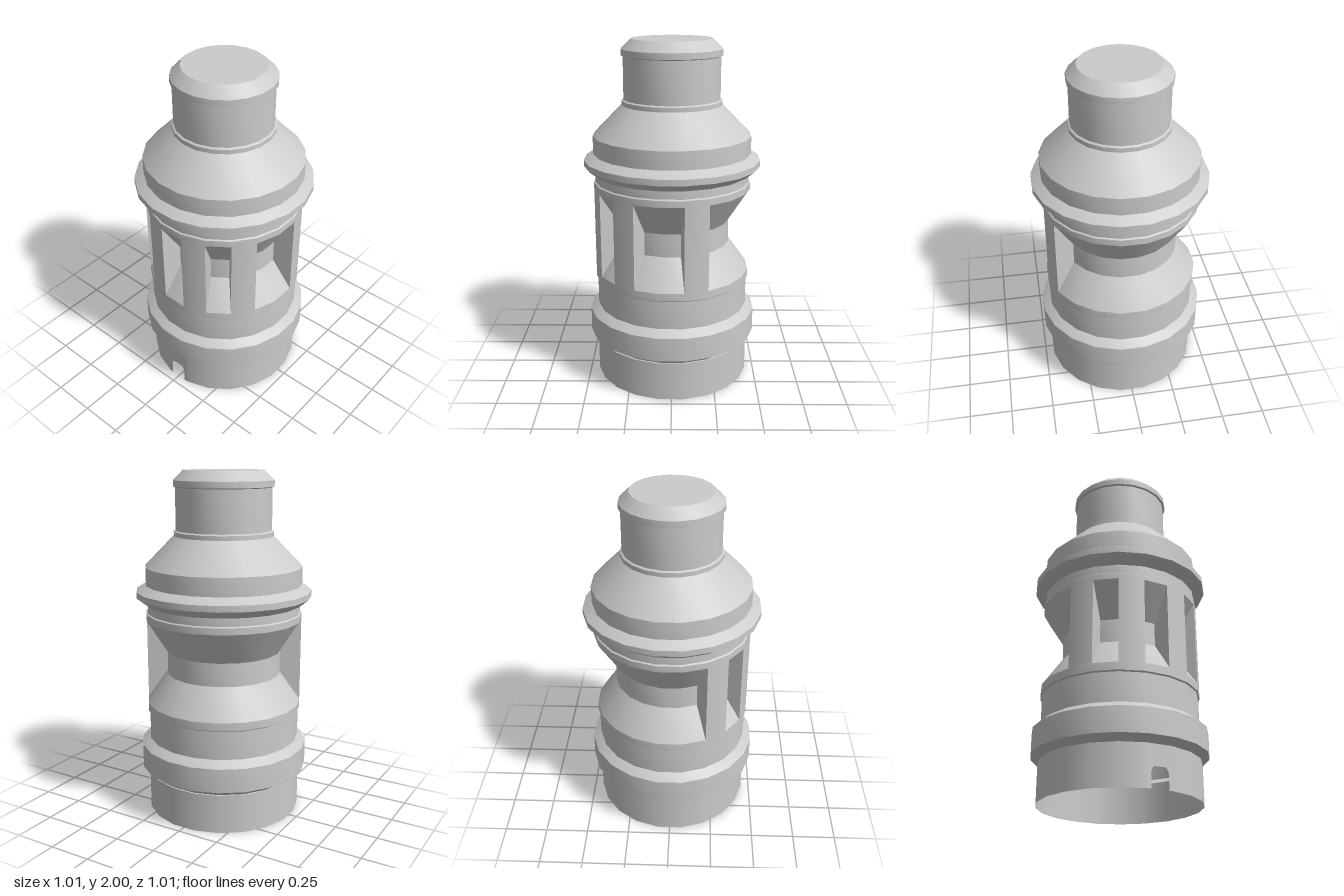
import * as THREE from 'three';
import { toCreasedNormals } from 'three/addons/utils/BufferGeometryUtils.js';

const SIDES = 20;
const STEP = (Math.PI * 2) / SIDES;
const deg = THREE.MathUtils.degToRad;
const R = 0.455; // main wall radius
const NECK = 0.335; // waist radius behind the pillars

const material = new THREE.MeshStandardMaterial({ color: 0xcccccc, side: THREE.DoubleSide });

const points = (list) => list.map(([x, y]) => new THREE.Vector2(x, y));

function addMesh(parent, name, geometry) {
  const mesh = new THREE.Mesh(geometry, material);
  mesh.name = name;
  parent.add(mesh);
  return mesh;
}

// Full turned section: smooth around, sharp along the profile
function turned(parent, name, profile) {
  const geometry = new THREE.LatheGeometry(points(profile), SIDES, STEP / 2);
  return addMesh(parent, name, toCreasedNormals(geometry, deg(25)));
}

export function createModel() {
  const model = new THREE.Group();
  model.name = 'turnedHousing';

  // Open skirt, leaving out the front facet
  addMesh(model, 'skirt',
    new THREE.LatheGeometry(points([[R, 0], [R, 0.23]]), SIDES - 1, STEP / 2, Math.PI * 2 - STEP));

  // Front facet with a small slot in its lower edge
  const half = R * Math.sin(STEP / 2);
  const slotPanel = new THREE.Shape(points([
    [-half, 0], [-0.05, 0], [-0.05, 0.08], [-0.045, 0.1], [-0.033, 0.115],
    [0.033, 0.115], [0.045, 0.1], [0.05, 0.08], [0.05, 0], [half, 0],
    [half, 0.23], [-half, 0.23],
  ]));
  addMesh(model, 'slottedPanel', new THREE.ShapeGeometry(slotPanel))
    .position.z = R * Math.cos(STEP / 2);

  // Lower flange and barrel
  turned(model, 'lowerFlange', [
    [R, 0.23], [0.445, 0.23], [0.495, 0.265], [0.495, 0.405], [0.447, 0.442],
    [0.447, 0.608], [R, 0.614], [R, 0.66],
  ]);

  // Waist that shows between the pillars
  const waist = [[R, 0.66], [NECK, 0.83], [NECK, 0.965], [R, 1.155]];
  turned(model, 'waist', waist);

  // Pillars around the waist; the back and one side stay open
  const wallShape = new THREE.Shape(points(waist));
  for (const start of [-63, -27, 9, 45, 99]) {
    const pillar = new THREE.Group();
    pillar.name = 'pillar';
    const a = deg(start);
    addMesh(pillar, 'pillarFace', new THREE.LatheGeometry(points([[R, 0.66], [R, 1.155]]), 1, a, STEP));
    for (const angle of [a, a + STEP]) {
      addMesh(pillar, 'pillarSide', new THREE.ShapeGeometry(wallShape)).rotation.y = angle - Math.PI / 2;
    }
    model.add(pillar);
  }

  // Upper collar ring
  turned(model, 'collar', [
    [R, 1.155], [R, 1.193], [0.447, 1.199], [0.447, 1.245], [0.455, 1.248],
    [0.509, 1.29], [0.509, 1.325], [R, 1.36],
  ]);

  // Shoulder tapering to the neck band
  turned(model, 'shoulder', [
    [R, 1.36], [R, 1.463], [0.287, 1.635], [0.287, 1.66], [0.276, 1.667],
  ]);

  // Top stem with a bevelled cap
  turned(model, 'stemAndCap', [
    [0.276, 1.667], [0.276, 1.905], [0.287, 1.91], [0.287, 1.945], [0.23, 2], [0, 2],
  ]);

  return model;
}
